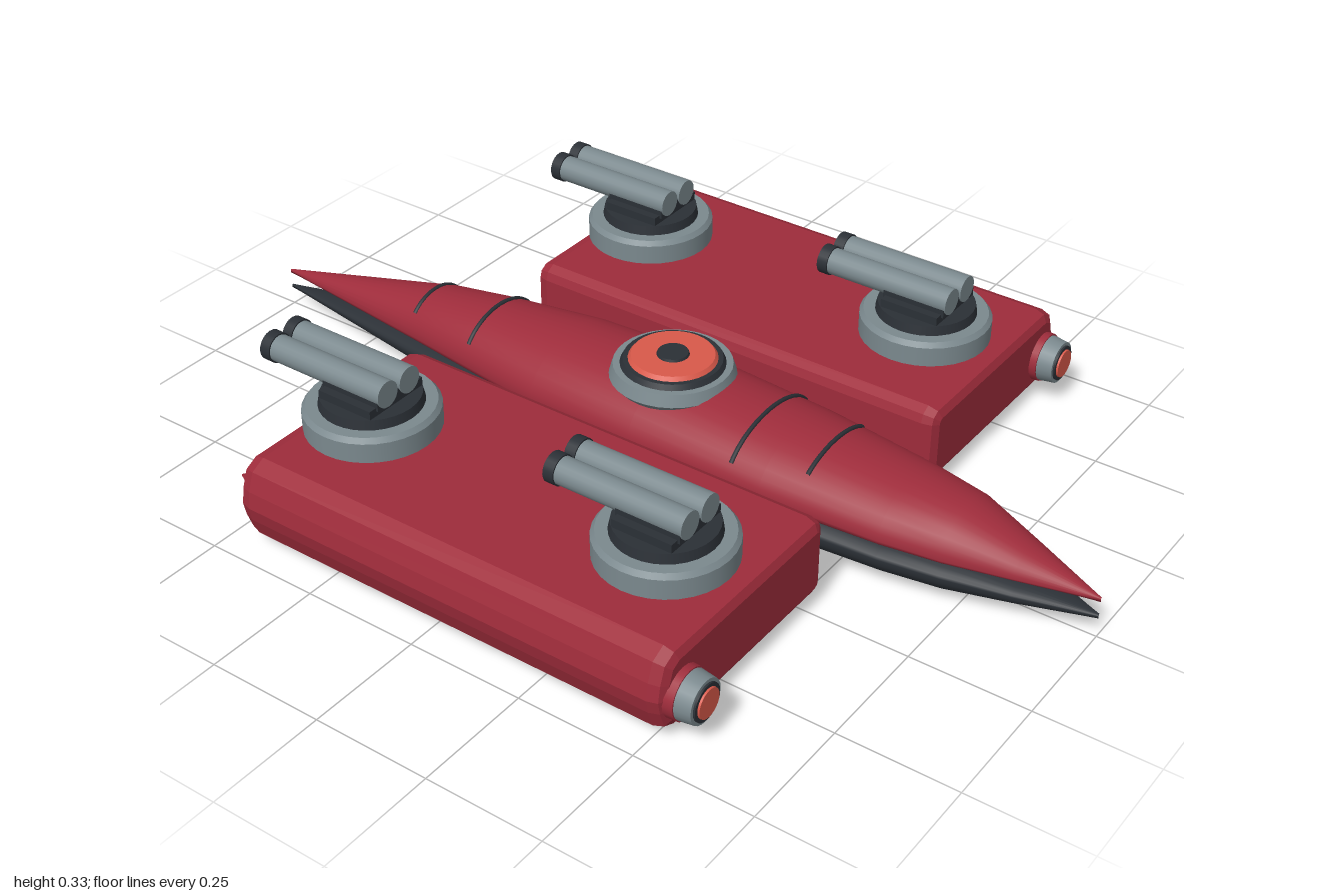
import * as THREE from 'three';

const mat = (name, color, side = THREE.FrontSide) => {
  const m = new THREE.MeshStandardMaterial({ color, side });
  m.name = name;
  return m;
};

export function createModel() {
  const red = mat('crimson', 0x9e2c3b);
  const grey = mat('steel', 0x7b898e);
  const dark = mat('charcoal', 0x2b3036);
  const glow = mat('coral', 0xd9594a);
  const model = new THREE.Group();
  model.name = 'assaultCraft';

  const add = (parent, name, geo, material, x = 0, y = 0, z = 0) => {
    const m = new THREE.Mesh(geo, material);
    m.name = name;
    m.position.set(x, y, z);
    parent.add(m);
    return m;
  };
  // upright disc from y0 to y1
  const disc = (parent, name, material, r0, r1, y0, y1, x = 0, z = 0) =>
    add(parent, name, new THREE.CylinderGeometry(r1, r0, y1 - y0, 32), material, x, (y0 + y1) / 2, z);
  // rod along z; rA is the radius at the front end
  const rod = (parent, name, material, rA, rB, zA, zB, x, y, sides = 20) =>
    add(parent, name, new THREE.CylinderGeometry(rA, rB, zA - zB, sides).rotateX(Math.PI / 2),
      material, x, y, (zA + zB) / 2);

  // ---- central hull: two stacked shells lofted from [z, halfWidth, top, middle, bottom]
  const upper = [
    [1, 0.002, 0.092, 0.09, 0.082], [0.85, 0.055, 0.142, 0.1, 0.084], [0.72, 0.098, 0.185, 0.11, 0.084],
    [0.6, 0.12, 0.196, 0.115, 0.08], [0.35, 0.145, 0.214, 0.125, 0.075], [0.05, 0.156, 0.232, 0.13, 0.07],
    [-0.2, 0.146, 0.225, 0.127, 0.075], [-0.42, 0.112, 0.209, 0.122, 0.082], [-0.55, 0.09, 0.193, 0.118, 0.085],
    [-1, 0.002, 0.09, 0.086, 0.08]];
  const lower = [
    [1, 0.002, 0.055, 0.05, 0.044], [0.85, 0.058, 0.078, 0.06, 0.025], [0.72, 0.1, 0.098, 0.07, 0.01],
    [0.6, 0.123, 0.105, 0.074, 0.006], [0.35, 0.149, 0.12, 0.08, 0.003], [0.05, 0.164, 0.13, 0.082, 0.002],
    [-0.2, 0.152, 0.125, 0.08, 0.008], [-0.42, 0.116, 0.114, 0.076, 0.018], [-0.55, 0.093, 0.102, 0.072, 0.024],
    [-1, 0.002, 0.051, 0.048, 0.042]];
  const ringPoint = ([z, w, top, mid, bot], a) => {
    const s = Math.sin(a);
    return new THREE.Vector3(w * Math.cos(a), mid + s * (s > 0 ? top - mid : mid - bot), z);
  };
  const loft = (rows) => {
    const n = 32, pos = [], idx = [];
    rows.forEach((r, i) => {
      for (let j = 0; j < n; j++) {
        pos.push(...ringPoint(r, (j / n) * Math.PI * 2).toArray());
        if (i === rows.length - 1) continue;
        const a = i * n + j, b = i * n + (j + 1) % n;
        idx.push(a, a + n, b, b, a + n, b + n);
      }
    });
    const g = new THREE.BufferGeometry();
    g.setAttribute('position', new THREE.Float32BufferAttribute(pos, 3));
    g.setIndex(idx);
    g.computeVertexNormals();
    return g;
  };
  add(model, 'upperHull', loft(upper), red);
  add(model, 'lowerHull', loft(lower), dark);

  // panel seams across the upper hull: [z, fraction of width]
  const sectionAt = (z) => {
    const i = upper.findIndex((r) => r[0] <= z);
    const a = upper[i - 1], b = upper[i], t = (z - a[0]) / (b[0] - a[0]);
    return a.map((v, k) => v + (b[k] - v) * t);
  };
  for (const [z, f] of [[0.43, 0.72], [0.28, 0.9], [-0.395, 0.87], [-0.57, 0.78]]) {
    const start = Math.acos(f), row = sectionAt(z), pts = [];
    for (let k = 0; k <= 12; k++) pts.push(ringPoint(row, start + (k / 12) * (Math.PI - 2 * start)));
    add(model, 'hullSeam', new THREE.TubeGeometry(new THREE.CatmullRomCurve3(pts), 24, 0.005, 6), dark);
  }

  // ---- round hatch on the hull
  const hatch = new THREE.Group();
  hatch.name = 'hatch';
  hatch.position.z = 0.05;
  model.add(hatch);
  disc(hatch, 'hatchBase', grey, 0.115, 0.128, 0.2, 0.215);
  disc(hatch, 'hatchRim', grey, 0.128, 0.12, 0.215, 0.24);
  disc(hatch, 'hatchCollar', dark, 0.106, 0.1, 0.24, 0.251);
  disc(hatch, 'hatchLens', glow, 0.09, 0.084, 0.251, 0.259);
  disc(hatch, 'hatchHub', dark, 0.033, 0.031, 0.259, 0.264);

  // ---- twin-barrel turret, muzzles pointing to -z
  const turret = (x, z) => {
    const t = new THREE.Group();
    t.name = 'turret';
    t.position.set(x, 0, z);
    model.add(t);
    disc(t, 'turretBase', grey, 0.136, 0.136, 0.19, 0.236);
    disc(t, 'turretBaseEdge', grey, 0.136, 0.128, 0.236, 0.246);
    disc(t, 'turretRing', dark, 0.104, 0.1, 0.246, 0.266);
    add(t, 'turretBody', new THREE.BoxGeometry(0.15, 0.02, 0.13), dark, 0, 0.274, 0);
    add(t, 'barrelCradle', new THREE.BoxGeometry(0.115, 0.02, 0.14), dark, 0, 0.287, 0);
    for (const s of [-1, 1]) {
      rod(t, 'barrel', grey, 0.028, 0.028, 0.073, -0.21, s * 0.031, 0.304);
      rod(t, 'muzzle', dark, 0.031, 0.031, -0.205, -0.228, s * 0.031, 0.304);
      rod(t, 'muzzleGlow', glow, 0.019, 0.019, -0.226, -0.23, s * 0.031, 0.304);
    }
  };

  // ---- side pods with bevelled cross-section
  const profile = [[0.197, 0.05], [0.203, 0.033], [0.222, 0.022], [0.668, 0.022], [0.699, 0.036], [0.713, 0.075],
    [0.719, 0.105], [0.713, 0.14], [0.699, 0.178], [0.668, 0.194], [0.222, 0.194], [0.203, 0.183], [0.197, 0.165]];
  for (const s of [-1, 1]) {
    const shape = new THREE.Shape(profile.map(([x, y]) => new THREE.Vector2(s * x, y)));
    const pod = new THREE.ExtrudeGeometry(shape, {
      depth: 0.93, bevelEnabled: true, bevelThickness: 0.03, bevelSize: 0.022, bevelOffset: -0.022, bevelSegments: 2,
    });
    add(model, s > 0 ? 'leftPod' : 'rightPod', pod, red, 0, 0, -0.425);

    // headlamp on the outer front corner
    const x = s * 0.653, y = 0.097;
    rod(model, 'lampMount', red, 0.052, 0.055, 0.55, 0.48, x, y);
    rod(model, 'lampHousing', grey, 0.045, 0.05, 0.583, 0.545, x, y, 24);
    rod(model, 'lampBezel', dark, 0.038, 0.038, 0.587, 0.58, x, y, 24);
    rod(model, 'lampLens', glow, 0.03, 0.031, 0.591, 0.585, x, y, 24);

    // pointed stud on the outer rear corner
    rod(model, 'rearStud', red, 0.045, 0.002, -0.43, -0.505, x, 0.112, 8);

    for (const z of [0.36, -0.335]) turret(s * 0.457, z);
  }
  return model;
}
